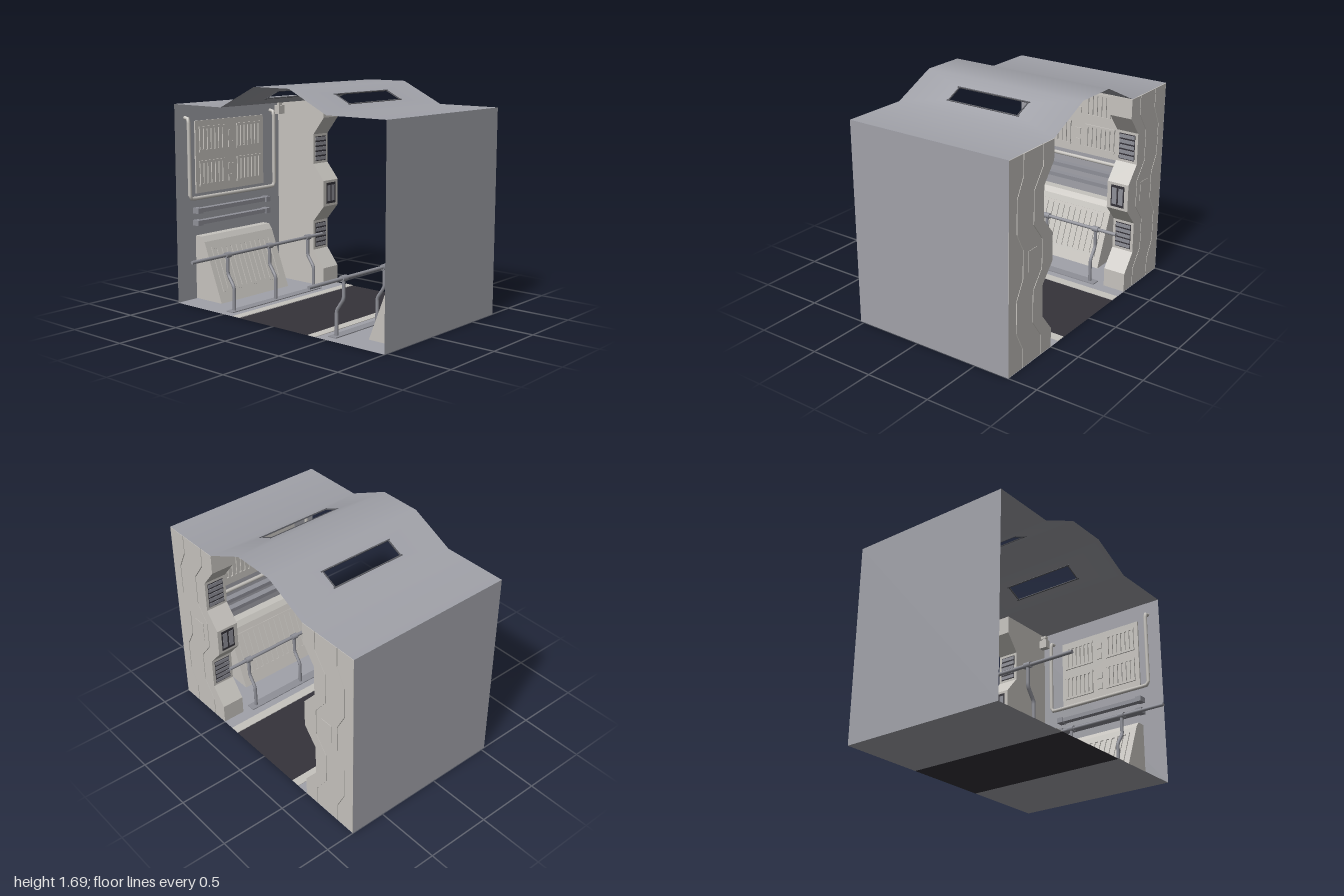
import * as THREE from 'three';

const mat = (name, color, side = THREE.FrontSide) => {
  const m = new THREE.MeshStandardMaterial({ color, side });
  m.name = name;
  return m;
};

export function createModel() {
  const root = new THREE.Group();
  root.name = 'corridorSection';
  const shell = mat('shell grey', 0xa1a2a9, THREE.DoubleSide);
  const beige = mat('warm panel grey', 0xc6c3be);
  const metal = mat('rail metal', 0x8f9098);
  const dark = mat('dark walkway', 0x35333a, THREE.DoubleSide);
  const trim = mat('skylight trim', 0x595a60);

  const ZF = 0.53, ZB = -0.775, ZM = (ZF + ZB) / 2, DEPTH = ZF - ZB, WALL = 1.53, ZC = -0.035;

  const add = (parent, name, geo, material, x = 0, y = 0, z = 0) => {
    const m = new THREE.Mesh(geo, material);
    m.name = name;
    m.position.set(x, y, z);
    parent.add(m);
    return m;
  };
  const box = (parent, name, material, w, h, d, x, y, z) =>
    add(parent, name, new THREE.BoxGeometry(w, h, d), material, x, y, z);
  const group = (parent, name) => {
    const g = new THREE.Group();
    g.name = name;
    parent.add(g);
    return g;
  };
  const extrude = (pts, z0, z1) => {
    const g = new THREE.ExtrudeGeometry(new THREE.Shape(pts.map(p => new THREE.Vector2(...p))),
      { depth: z1 - z0, bevelEnabled: false });
    return g.translate(0, 0, z0);
  };
  // Round pipe through points, with softened corners
  const pipe = (parent, name, material, points, r, bend) => {
    const p = points.map(a => new THREE.Vector3(...a));
    const path = new THREE.CurvePath();
    let from = p[0];
    for (let i = 1; i < p.length - 1; i++) {
      const a = p[i].clone().add(p[i - 1].clone().sub(p[i]).setLength(bend));
      const b = p[i].clone().add(p[i + 1].clone().sub(p[i]).setLength(bend));
      path.add(new THREE.LineCurve3(from, a));
      path.add(new THREE.QuadraticBezierCurve3(a, p[i], b));
      from = b;
    }
    path.add(new THREE.LineCurve3(from, p[p.length - 1]));
    return add(parent, name, new THREE.TubeGeometry(path, 64, r, 8), material);
  };

  // Floor: two side decks and a dark central walkway
  const floor = (name, material, x0, x1) => add(root, name,
    new THREE.PlaneGeometry(x1 - x0, DEPTH).rotateX(-Math.PI / 2), material, (x0 + x1) / 2, 0, ZM);
  floor('walkway', dark, -0.335, 0.335);
  floor('leftDeck', shell, 0.335, 1);
  floor('rightDeck', shell, -1, -0.335);

  // Roof: thin folded sheet with softened folds and two skylight openings
  const RX = [-1, -0.5, -0.165, 0.165, 0.5, 1], RY = [WALL, WALL, 1.69, 1.69, WALL, WALL];
  const segNormal = i => new THREE.Vector3(RY[i] - RY[i + 1], RX[i + 1] - RX[i], 0).normalize();
  const rect = (x0, x1, z0, z1) => [[x0, -z1], [x1, -z1], [x1, -z0], [x0, -z0]].map(p => new THREE.Vector2(...p));
  for (let i = 0; i < 5; i++) {
    const shape = new THREE.Shape(rect(RX[i], RX[i + 1], ZB, ZF));
    if (i === 1) shape.holes.push(new THREE.Path(rect(-0.395, -0.275, -0.415, 0.17)));
    if (i === 3) shape.holes.push(new THREE.Path(rect(0.275, 0.395, -0.415, 0.17)));
    const geo = new THREE.ShapeGeometry(shape), pos = geo.attributes.position, nor = geo.attributes.normal;
    for (let k = 0; k < pos.count; k++) {
      const x = pos.getX(k), t = (x - RX[i]) / (RX[i + 1] - RX[i]), n = segNormal(i);
      if (t < 0.001 && i > 0) n.add(segNormal(i - 1)).normalize();
      if (t > 0.999 && i < 4) n.add(segNormal(i + 1)).normalize();
      pos.setXYZ(k, x, RY[i] + t * (RY[i + 1] - RY[i]), -pos.getY(k));
      nor.setXYZ(k, n.x, n.y, n.z);
    }
    add(root, 'roofPanel', geo, shell);
  }

  // Wavy inner outline of the end pillars, kept just clear of floor and roof
  const YS = [0.003, 0.15, 0.29, 0.53, 0.66, 0.87, 1.0, 1.24, 1.38, WALL - 0.004];
  const IN = [0, 0, 1, 1, 0, 0, 1, 1, 0, 0];
  const wave = (s, base, amp) => YS.map((y, i) => [s * (base + amp * IN[i]), y]);
  const band = (a, b) => [...a, ...b.slice().reverse()];

  for (const s of [1, -1]) {
    const side = group(root, s > 0 ? 'leftSide' : 'rightSide');

    add(side, 'sideWall', new THREE.PlaneGeometry(DEPTH, WALL).rotateY(Math.PI / 2), shell, s, WALL / 2, ZM);
    box(side, 'walkwayEdge', beige, 0.07, 0.004, DEPTH, s * 0.37, 0.003, ZM);

    // Skylight frame, lying on the roof slope
    const sky = group(side, 'skylightFrame');
    sky.position.set(s * 0.335, 1.609, -0.1225);
    sky.rotation.z = -s * Math.atan2(0.16, 0.335);
    for (const e of [1, -1]) {
      box(sky, 'frameRail', trim, 0.009, 0.008, 0.61, e * 0.071, 0, 0);
      box(sky, 'frameEnd', trim, 0.136, 0.008, 0.008, 0, 0, e * 0.291);
    }

    // End pillar: plain front, wavy plates with fine gaps on the back
    const pillar = group(side, 'pillar');
    const wall = wave(s, 0.998, 0);
    add(pillar, 'pillarCore', extrude(band(wave(s, 0.5, 0.11), wall), ZB + 0.01, -0.6), beige);
    const bands = [
      [wave(s, 0.5, 0.11), wave(s, 0.62, 0.1)],
      [wave(s, 0.627, 0.1), wave(s, 0.838, 0.07)],
      [wave(s, 0.845, 0.07), wall]
    ];
    for (const [a, b] of bands) add(pillar, 'pillarPlate', extrude(band(a, b), ZB, ZB + 0.01), beige);
    box(pillar, 'hatch', beige, 0.1, 0.15, 0.006, s * 0.73, 0.765, ZB);
    // Louvres in the hollows and a control plate on the crest
    for (const y of [0.41, 1.12]) {
      box(pillar, 'louvreBack', dark, 0.004, 0.2, 0.13, s * 0.61, y, -0.6875);
      for (let i = 0; i < 5; i++)
        box(pillar, 'louvreSlat', metal, 0.01, 0.027, 0.124, s * 0.609, y - 0.08 + i * 0.04, -0.6875);
    }
    box(pillar, 'controlBack', dark, 0.004, 0.17, 0.11, s * 0.5, 0.765, -0.6875);
    for (const e of [1, -1])
      box(pillar, 'controlPlate', metal, 0.008, 0.13, 0.038, s * 0.5, 0.765, -0.6875 + e * 0.026);

    // Sloping console with vertical ribs
    const console_ = group(side, 'console');
    add(console_, 'consoleBody', extrude(
      [[0.998, 0.003], [0.998, 0.5], [0.93, 0.5], [0.9, 0.46], [0.72, 0.003]].map(([x, y]) => [s * x, y]),
      -0.41, 0.34), beige);
    const face = group(console_, 'consoleGrille');
    face.position.set(s * 0.81, 0.23, ZC);
    face.rotation.z = -s * Math.atan2(0.18, 0.46);
    for (let i = 0; i < 13; i++)
      box(face, 'grilleRib', beige, 0.016, 0.35, 0.026, 0, 0.02, -0.312 + i * 0.052);
    for (const y of [-0.15, 0.19]) box(face, 'grilleRail', beige, 0.016, 0.018, 0.65, 0, y, 0);

    // Two horizontal bumper bars with end blocks
    for (const y of [0.605, 0.7]) {
      box(side, 'bumperBar', metal, 0.05, 0.032, 0.76, s * 0.973, y, ZC);
      for (const e of [1, -1]) box(side, 'bumperEnd', metal, 0.063, 0.042, 0.05, s * 0.967, y, ZC + e * 0.375);
    }

    // Wall panel: four slotted grilles around a middle column
    const panel = group(side, 'wallPanel');
    box(panel, 'panelPlate', beige, 0.012, 0.56, 0.74, s * 0.993, 1.11, ZC);
    for (const y of [0.98, 1.245]) {
      for (const e of [1, -1]) {
        const z = ZC + e * 0.2;
        for (let i = 0; i < 7; i++)
          box(panel, 'ventBar', beige, 0.012, 0.18, 0.022, s * 0.983, y, z - 0.12 + i * 0.04);
        for (const f of [1, -1])
          box(panel, 'ventRail', beige, 0.012, 0.018, 0.27, s * 0.983, y + f * 0.09, z);
      }
      for (const f of [-0.06, 0.03])
        box(panel, 'panelButton', beige, 0.012, 0.05, 0.05, s * 0.985, y + f, ZC);
    }

    // Pipe framing the panel, turning into the wall at both tops
    const px = s * 0.955;
    pipe(side, 'framePipe', beige, [[s * 0.998, 1.42, 0.43], [px, 1.42, 0.43], [px, 0.8, 0.43],
      [px, 0.8, -0.5], [px, 1.42, -0.5], [s * 0.998, 1.42, -0.5]], 0.015, 0.03);

    // Small fixture beside the pillar
    box(side, 'fixtureBlock', beige, 0.05, 0.07, 0.07, s * 0.95, 1.425, -0.565);
    box(side, 'fixtureNeck', beige, 0.022, 0.03, 0.04, s * 0.95, 1.47, -0.565);
    box(side, 'fixtureCap', beige, 0.034, 0.022, 0.05, s * 0.95, 1.488, -0.565);

    // Handrail on three cranked posts
    const rail = group(side, 'handrail');
    const tube = (name, r, len, z) =>
      add(rail, name, new THREE.CylinderGeometry(r, r, len, 16).rotateX(Math.PI / 2), metal, s * 0.563, 0.422, z);
    tube('railTube', 0.013, 1.43, 0.063);
    box(rail, 'railBase', metal, 0.07, 0.007, 1.0, s * 0.5, 0.005, -0.03);
    for (const z of [0.42, -0.03, -0.475]) {
      pipe(rail, 'railPost', metal, [[s * 0.5, 0.005, z], [s * 0.5, 0.185, z],
        [s * 0.563, 0.275, z], [s * 0.563, 0.42, z]], 0.013, 0.02);
      tube('railSleeve', 0.022, 0.05, z);
    }
  }
  return root;
}
